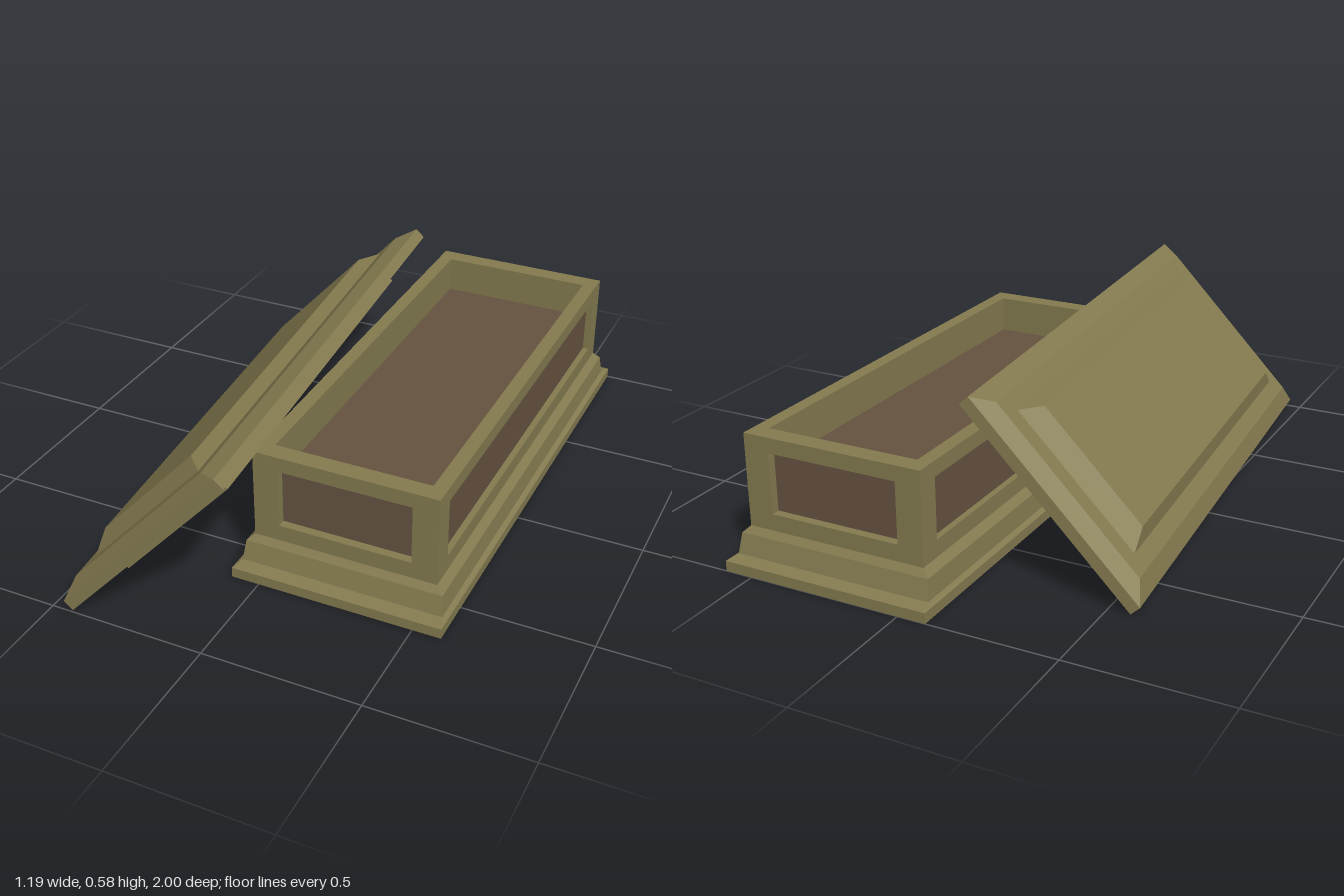
import * as THREE from 'three';

const stone = new THREE.MeshStandardMaterial({ color: 0x857b50, flatShading: true });
const panelMat = new THREE.MeshStandardMaterial({ color: 0x665341, flatShading: true });

function mesh(name, geometry, material, x = 0, y = 0, z = 0) {
  const m = new THREE.Mesh(geometry, material);
  m.name = name;
  m.position.set(x, y, z);
  return m;
}

// Stacked rectangular cross-sections [halfX, halfZ, y], listed bottom to top, capped at both ends
function rectLoft(sections) {
  const pos = [];
  const rings = sections.map(([a, b, y]) => [[-a, y, b], [a, y, b], [a, y, -b], [-a, y, -b]]);
  const quad = (a, b, c, d) => pos.push(...a, ...b, ...c, ...a, ...c, ...d);
  for (let i = 0; i < rings.length - 1; i++) {
    const lo = rings[i], hi = rings[i + 1];
    for (let k = 0; k < 4; k++) {
      const n = (k + 1) % 4;
      quad(lo[k], lo[n], hi[n], hi[k]);
    }
  }
  const bottom = rings[0], top = rings[rings.length - 1];
  quad(bottom[3], bottom[2], bottom[1], bottom[0]);
  quad(top[0], top[1], top[2], top[3]);
  const g = new THREE.BufferGeometry();
  g.setAttribute('position', new THREE.Float32BufferAttribute(pos, 3));
  g.computeVertexNormals();
  return g;
}

function rectPath(Type, x0, y0, x1, y1) {
  const p = new Type();
  p.moveTo(x0, y0);
  p.lineTo(x1, y0);
  p.lineTo(x1, y1);
  p.lineTo(x0, y1);
  p.closePath();
  return p;
}

// Rectangular frame in the XY plane, extruded towards +z
function frame(outer, hole, depth) {
  const s = rectPath(THREE.Shape, ...outer);
  s.holes.push(rectPath(THREE.Path, ...hole));
  return new THREE.ExtrudeGeometry(s, { depth, bevelEnabled: false });
}

function createChest() {
  const chest = new THREE.Group();
  chest.name = 'chest';
  const HX = 0.295, HZ = 0.755, Y0 = 0.127, Y1 = 0.42;
  const DX = 0.022, DZ = 0.03;          // recess depth on long and short sides
  const IX = 0.25, IZ = 0.695;          // cavity half sizes

  // Moulded plinth
  chest.add(mesh('plinth', rectLoft([
    [0.34, 0.8275, 0], [0.34, 0.8275, 0.033], [0.325, 0.785, 0.042],
    [0.318, 0.77, 0.105], [HX, HZ, Y0],
  ]), stone));

  // Inner lining of the walls
  const ox = HX - DX, oz = HZ - DZ;
  const lining = frame([-ox, -oz, ox, oz], [-IX, -IZ, IX, IZ], Y1 - Y0);
  lining.rotateX(-Math.PI / 2);
  chest.add(mesh('wallLining', lining, stone, 0, Y0, 0));

  // Cavity floor
  chest.add(mesh('floor', new THREE.BoxGeometry(2 * IX, 0.02, 2 * IZ), panelMat, 0, 0.29, 0));

  // Framed, recessed panels on all four sides
  const sides = [
    ['front', 0, HX, HZ, DZ, 0.213], ['left', 1, oz, HX, DX, 0.68],
    ['back', 2, HX, HZ, DZ, 0.213], ['right', 3, oz, HX, DX, 0.68],
  ];
  for (const [name, turn, half, dist, depth, ph] of sides) {
    const side = new THREE.Group();
    side.name = name + 'Side';
    side.rotation.y = turn * Math.PI / 2;
    side.add(mesh(name + 'Frame',
      frame([-half, Y0, half, Y1], [-ph, 0.18, ph, 0.372], depth), stone, 0, 0, dist - depth));
    side.add(mesh(name + 'Panel',
      new THREE.BoxGeometry(2 * ph, 0.192, 0.004), panelMat, 0, 0.276, dist - depth));
    chest.add(side);
  }
  chest.position.set(0.25, 0, -0.1725);
  return chest;
}

function createLid() {
  const lid = new THREE.Group();
  lid.name = 'lid';
  const W = 0.375, L = 0.85;
  // Bevelled slab with a raised centre
  lid.add(mesh('lidSlab', rectLoft([
    [W, L, 0], [W, L, 0.038], [W - 0.06, L - 0.05, 0.067],
    [W - 0.115, L - 0.11, 0.067], [W - 0.155, L - 0.175, 0.105],
  ]), stone));
  // Locating lip on the underside
  lid.add(mesh('lidLip', new THREE.BoxGeometry(0.5, 0.03, 1.39), stone, 0, -0.015, 0));
  // Leaning against the chest, turned slightly
  lid.rotation.set(0, 0.0795, 0.822, 'YXZ');
  lid.position.set(-0.2475, 0.275, 0.126);
  return lid;
}

export function createModel() {
  const model = new THREE.Group();
  model.name = 'openChestWithLid';
  model.add(createChest(), createLid());
  return model;
}
